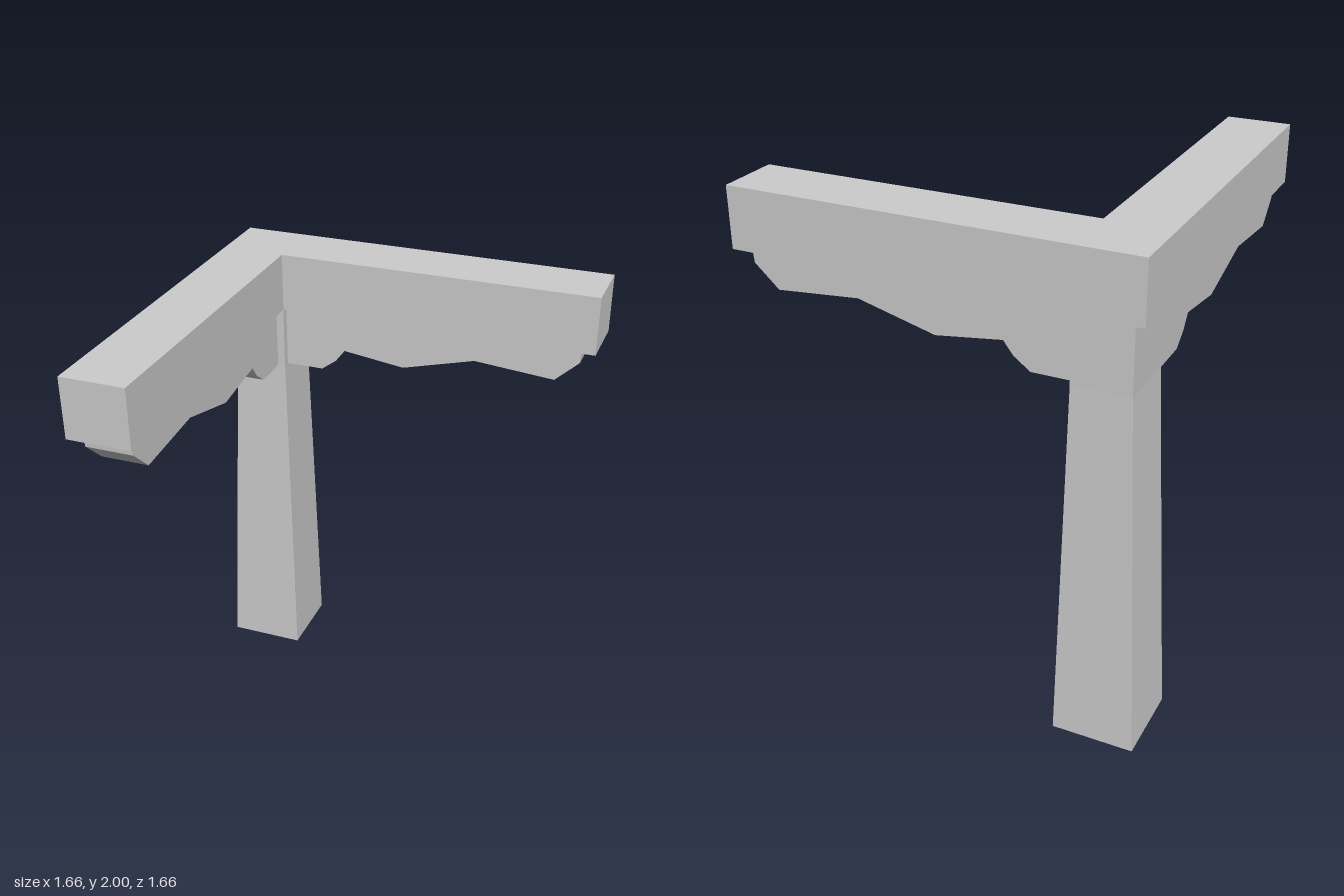
import * as THREE from 'three';

const material = new THREE.MeshStandardMaterial({ color: 0xcccccc, flatShading: true });

function addMesh(parent, name, geometry) {
  const mesh = new THREE.Mesh(geometry, material);
  mesh.name = name;
  parent.add(mesh);
  return mesh;
}

function extrude(points, depth) {
  const shape = new THREE.Shape(points.map(([x, y]) => new THREE.Vector2(x, y)));
  return new THREE.ExtrudeGeometry(shape, { depth, bevelEnabled: false });
}

// Square foot narrowing to a straight neck under the beams
function postGeometry() {
  const rows = [
    { y: 0, x: [-0.83, -0.5], z: [-0.83, -0.5] },
    { y: 1.49, x: [-0.765, -0.535], z: [-0.798, -0.533] },
    { y: 1.76, x: [-0.765, -0.535], z: [-0.798, -0.533] },
  ];
  const geometry = new THREE.BoxGeometry(1, 2, 1, 1, 2, 1);
  const p = geometry.attributes.position;
  for (let i = 0; i < p.count; i++) {
    const row = rows[Math.round(p.getY(i) + 1)];
    p.setXYZ(i, row.x[p.getX(i) > 0 ? 1 : 0], row.y, row.z[p.getZ(i) > 0 ? 1 : 0]);
  }
  geometry.computeVertexNormals();
  return geometry;
}

export function createModel() {
  const group = new THREE.Group();
  group.name = 'cornerPostWithBeams';

  addMesh(group, 'post', postGeometry());

  // L-shaped top beam, drawn in plan and laid flat
  const outer = -0.8, inner = -0.535, end = 0.83;
  const plan = [[outer, outer], [end, outer], [end, inner], [inner, inner], [inner, end], [outer, end]];
  const beam = addMesh(group, 'cornerBeam', extrude(plan, 0.247));
  beam.rotation.x = Math.PI / 2;
  beam.position.y = 2;

  // Carved bracket under each arm, running out from the post
  const profile = [
    [-0.6, 1.755], [-0.6, 1.487], [-0.37, 1.487], [-0.305, 1.535], [-0.265, 1.588], [0.005, 1.552],
    [0.32, 1.635], [0.665, 1.605], [0.765, 1.697], [0.77, 1.755],
  ];
  const bracket = extrude(profile, 0.197);
  addMesh(group, 'backBracket', bracket).position.z = -0.762;
  const side = addMesh(group, 'sideBracket', bracket);
  side.rotation.y = -Math.PI / 2;
  side.position.x = -0.568;

  return group;
}
